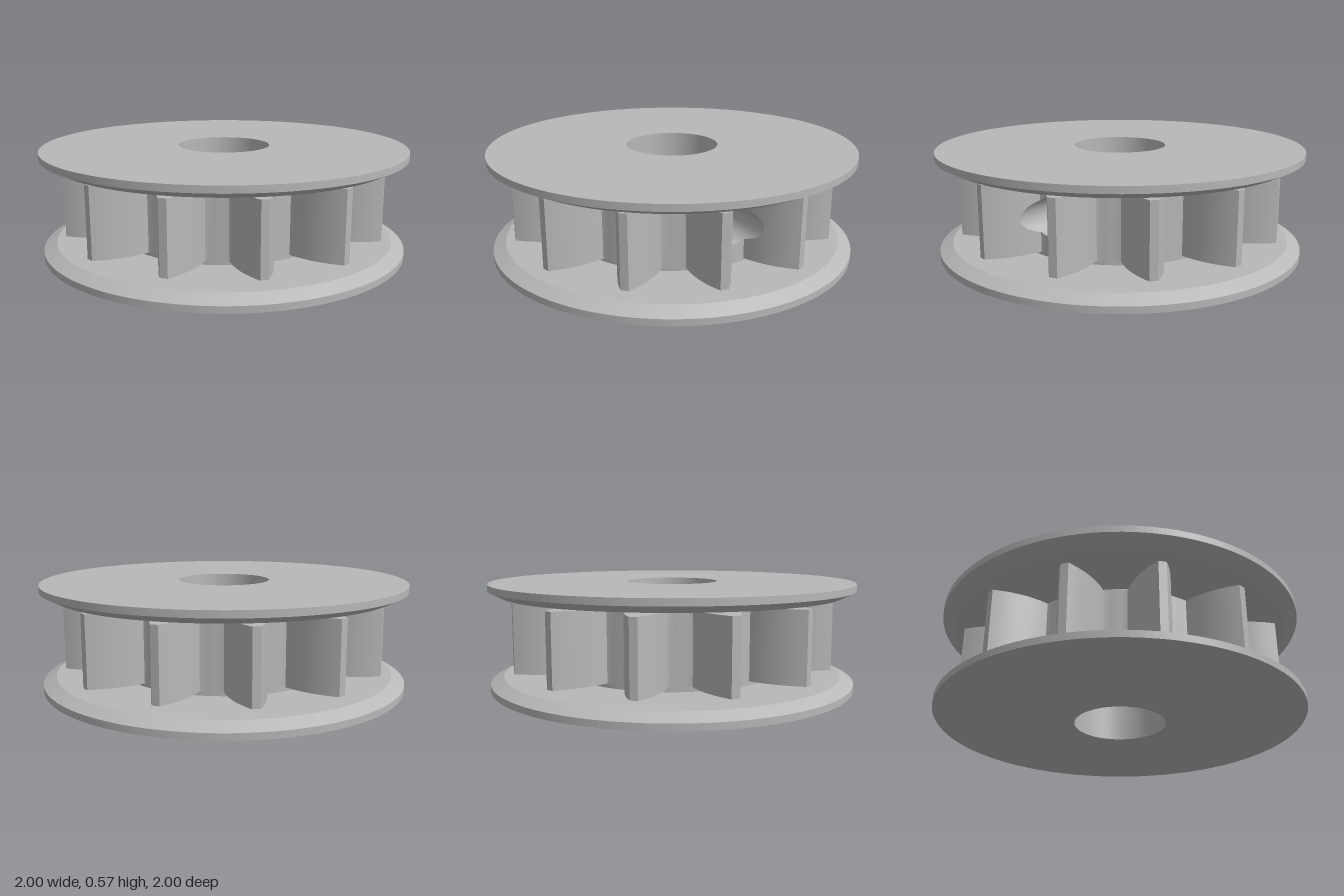
import * as THREE from 'three';
import { mergeGeometries, toCreasedNormals } from 'three/addons/utils/BufferGeometryUtils.js';

const TEETH = 12, HALF = Math.PI / TEETH;
const TIP_R = 0.88, ROOT_R = 0.605, HUB_R = 0.58, BORE_R = 0.25;
const HEIGHT = 0.57, GEAR_Y0 = 0.1, GEAR_Y1 = 0.475;
const HOLE_R = 0.1, HOLE_Y = (GEAR_Y0 + GEAR_Y1) / 2, HOLE_STEPS = 16;
const HOLE_ANGLE = 7 * HALF; // middle of the gap that holds the screw hole

const steel = new THREE.MeshStandardMaterial({ color: 0xb8b8b8 });
steel.name = 'steelGrey';

// Geometry from a list of four-cornered faces
function quads(list) {
  const pos = [];
  for (const [a, b, c, d] of list) pos.push(...a, ...b, ...c, ...a, ...c, ...d);
  const g = new THREE.BufferGeometry();
  g.setAttribute('position', new THREE.Float32BufferAttribute(pos, 3));
  return g;
}

// Height of a profile [[u, h], ...] at u
function heightAt(profile, u) {
  for (let i = 1; i < profile.length; i++) {
    const [u0, h0] = profile[i - 1], [u1, h1] = profile[i];
    if (u <= u1 + 1e-9) return h0 + (h1 - h0) * (u - u0) / (u1 - u0);
  }
  return profile[profile.length - 1][1];
}

// Upright wall that follows a profile, with an optional round hole facing +z
function wall(profile, y0, y1, holed, inward) {
  let us = profile.map(p => p[0]);
  if (holed) {
    for (let k = 0; k <= HOLE_STEPS; k++) us.push(HOLE_R * Math.cos(k * Math.PI / HOLE_STEPS));
    us.sort((a, b) => a - b);
    us = us.filter((u, i) => i === 0 || u - us[i - 1] > 1e-6);
  }
  if (inward) us.reverse();
  const at = (u, y) => [u, y, heightAt(profile, u)];
  const rise = u => Math.sqrt(Math.max(0, HOLE_R * HOLE_R - u * u));
  const faces = [];
  for (let i = 1; i < us.length; i++) {
    const a = us[i - 1], b = us[i];
    if (holed && Math.abs(a + b) / 2 < HOLE_R) {
      const ra = rise(a), rb = rise(b);
      faces.push([at(a, y0), at(b, y0), at(b, HOLE_Y - rb), at(a, HOLE_Y - ra)]);
      faces.push([at(a, HOLE_Y + ra), at(b, HOLE_Y + rb), at(b, y1), at(a, y1)]);
    } else faces.push([at(a, y0), at(b, y0), at(b, y1), at(a, y1)]);
  }
  return quads(faces);
}

// One gap, from tooth tip to tooth tip, with bulging flanks and a round floor
function gapProfile() {
  const right = [], tipW = 0.02, rootW = 0.1;
  const rise = TIP_R - 0.6, run = rootW - tipW;
  const R = (run * run + rise * rise) / (2 * run), sweep = Math.asin(rise / R);
  const rootA = HALF - Math.atan2(rootW, 0.6);
  for (let i = 1; i < 3; i++) right.push([ROOT_R * Math.sin(rootA * i / 3), ROOT_R * Math.cos(rootA * i / 3)]);
  const fromTooth = (w, y) => {
    const r = Math.hypot(w, y), a = HALF - Math.atan2(w, y);
    right.push([r * Math.sin(a), r * Math.cos(a)]);
  };
  for (let i = 0; i <= 10; i++) {
    const t = sweep * i / 10;
    fromTooth(rootW - R + R * Math.cos(t), 0.6 + R * Math.sin(t));
  }
  fromTooth(0, TIP_R);
  return [...right.map(([u, h]) => [-u, h]).reverse(), [0, ROOT_R], ...right];
}

export function createModel() {
  const group = new THREE.Group();
  const add = (name, geometry, crease = 0.55) => {
    const mesh = new THREE.Mesh(toCreasedNormals(geometry, crease), steel);
    mesh.name = name;
    group.add(mesh);
  };

  // Flanges, each with its bevelled rim and collar
  const flange = [[BORE_R, 0], [1, 0], [1, 0.035], [0.93, 0.07], [HUB_R, 0.07], [HUB_R, GEAR_Y0]];
  const lathe = pts => new THREE.LatheGeometry(pts.map(p => new THREE.Vector2(...p)), 128);
  add('lowerFlange', lathe(flange), 0.3);
  add('upperFlange', lathe(flange.map(([r, y]) => [r, y === GEAR_Y0 ? GEAR_Y1 : HEIGHT - y]).reverse()), 0.3);

  // Toothed ring walls
  const gap = gapProfile(), walls = [], outline = [];
  for (let k = 0; k < TEETH; k++) {
    const a = HALF * (2 * k + 1);
    walls.push(wall(gap, GEAR_Y0, GEAR_Y1, k === 3).rotateY(a));
    for (const [u, h] of gap.slice(0, -1)) {
      outline.push(new THREE.Vector2(u * Math.cos(a) + h * Math.sin(a), u * Math.sin(a) - h * Math.cos(a)));
    }
  }
  add('toothWalls', mergeGeometries(walls));

  // Flat ends of the teeth
  const face = new THREE.Shape(outline);
  face.holes.push(new THREE.Path().absarc(0, 0, HUB_R - 0.02, 0, Math.PI * 2, true));
  add('teethTop', new THREE.ShapeGeometry(face, 48).rotateX(-Math.PI / 2).translate(0, GEAR_Y1, 0));
  const under = new THREE.Shape(outline.map(p => new THREE.Vector2(p.x, -p.y)));
  under.holes = face.holes;
  add('teethBottom', new THREE.ShapeGeometry(under, 48).rotateX(Math.PI / 2).translate(0, GEAR_Y0, 0));

  // Bore, in profile strips: the first one is pierced by the screw hole
  const arc = [];
  for (let i = -10; i <= 10; i++) {
    const t = i * Math.PI / 60;
    arc.push([BORE_R * Math.sin(t), BORE_R * Math.cos(t)]);
  }
  const bore = [];
  for (let k = 0; k < 6; k++) bore.push(wall(arc, 0, HEIGHT, k === 0, true).rotateY(HOLE_ANGLE + k * Math.PI / 3));
  add('bore', mergeGeometries(bore));

  // Screw hole from the gap floor to the bore
  const ring = (k, profile) => {
    const t = k * Math.PI / HOLE_STEPS, u = HOLE_R * Math.cos(t);
    return [u, HOLE_Y + HOLE_R * Math.sin(t), heightAt(profile, u)];
  };
  const tube = [];
  for (let k = 0; k < HOLE_STEPS * 2; k++) {
    // extra steps where the flank corner cuts the hole come from the shared profile
    tube.push([ring(k, gap), ring(k + 1, gap), ring(k + 1, arc), ring(k, arc)]);
  }
  add('screwHole', quads(tube).rotateY(HOLE_ANGLE));
  return group;
}
